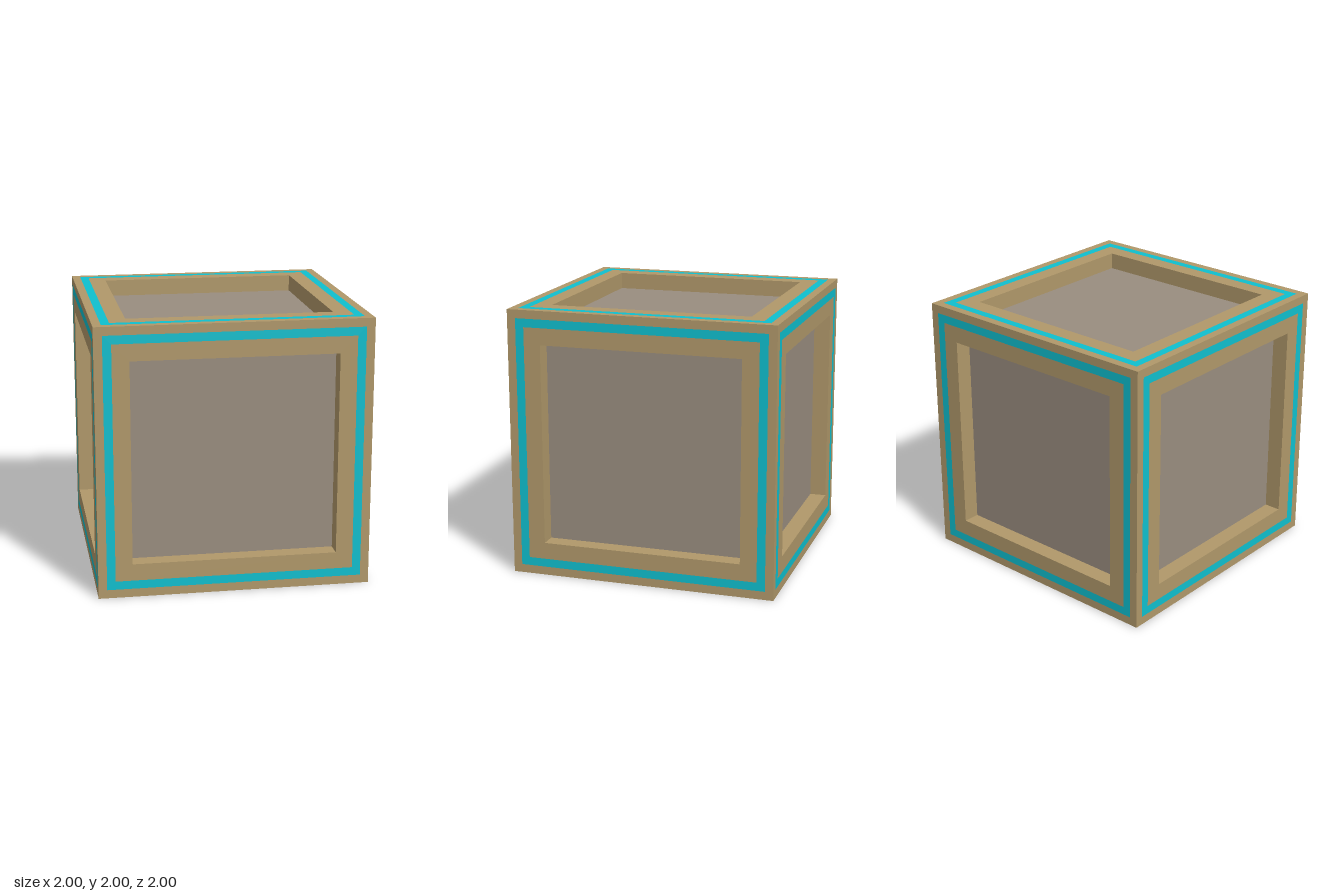
import * as THREE from 'three';
import { mergeGeometries } from 'three/addons/utils/BufferGeometryUtils.js';

const OUTER = 1, STRIPE_OUT = 0.9375, STRIPE_IN = 0.875, WINDOW = 0.75, DEPTH = 0.125;

const square = (Type, h) => new Type([
  new THREE.Vector2(-h, -h), new THREE.Vector2(h, -h),
  new THREE.Vector2(h, h), new THREE.Vector2(-h, h),
]);

// Flat square ring on the +z face of the cube
function ring(outer, inner) {
  const shape = square(THREE.Shape, outer);
  shape.holes.push(square(THREE.Path, inner));
  return new THREE.ShapeGeometry(shape).translate(0, 0, OUTER);
}

export function createModel() {
  const model = new THREE.Group();
  model.name = 'crate';

  const material = (color) => new THREE.MeshStandardMaterial({ color });
  const frameMat = material(0xb0986a);
  const stripeMat = material(0x0fbfce);
  const panelMat = material(0x998d7f);

  // Frame: border on both sides of the stripe, plus the four walls of the recess
  const pieces = [ring(OUTER, STRIPE_OUT), ring(STRIPE_IN, WINDOW)];
  for (let i = 0; i < 4; i++) {
    pieces.push(new THREE.PlaneGeometry(WINDOW * 2, DEPTH)
      .rotateX(-Math.PI / 2)
      .translate(0, -WINDOW, OUTER - DEPTH / 2)
      .rotateZ(i * Math.PI / 2));
  }
  const frameGeo = mergeGeometries(pieces);
  const stripeGeo = ring(STRIPE_OUT, STRIPE_IN);
  const panelGeo = new THREE.PlaneGeometry(WINDOW * 2, WINDOW * 2).translate(0, 0, OUTER - DEPTH);

  // The same side, turned to all six directions
  const q = Math.PI / 2;
  const sides = {
    front: [0, 0], left: [0, q], back: [0, 2 * q], right: [0, -q], top: [-q, 0], bottom: [q, 0],
  };
  for (const [name, [rx, ry]] of Object.entries(sides)) {
    const side = new THREE.Group();
    side.name = name + 'Side';
    const add = (part, geo, mat) => {
      const mesh = new THREE.Mesh(geo, mat);
      mesh.name = name + part;
      side.add(mesh);
    };
    add('Frame', frameGeo, frameMat);
    add('Stripe', stripeGeo, stripeMat);
    add('Panel', panelGeo, panelMat);
    side.rotation.set(rx, ry, 0);
    side.position.y = 1;
    model.add(side);
  }
  return model;
}
